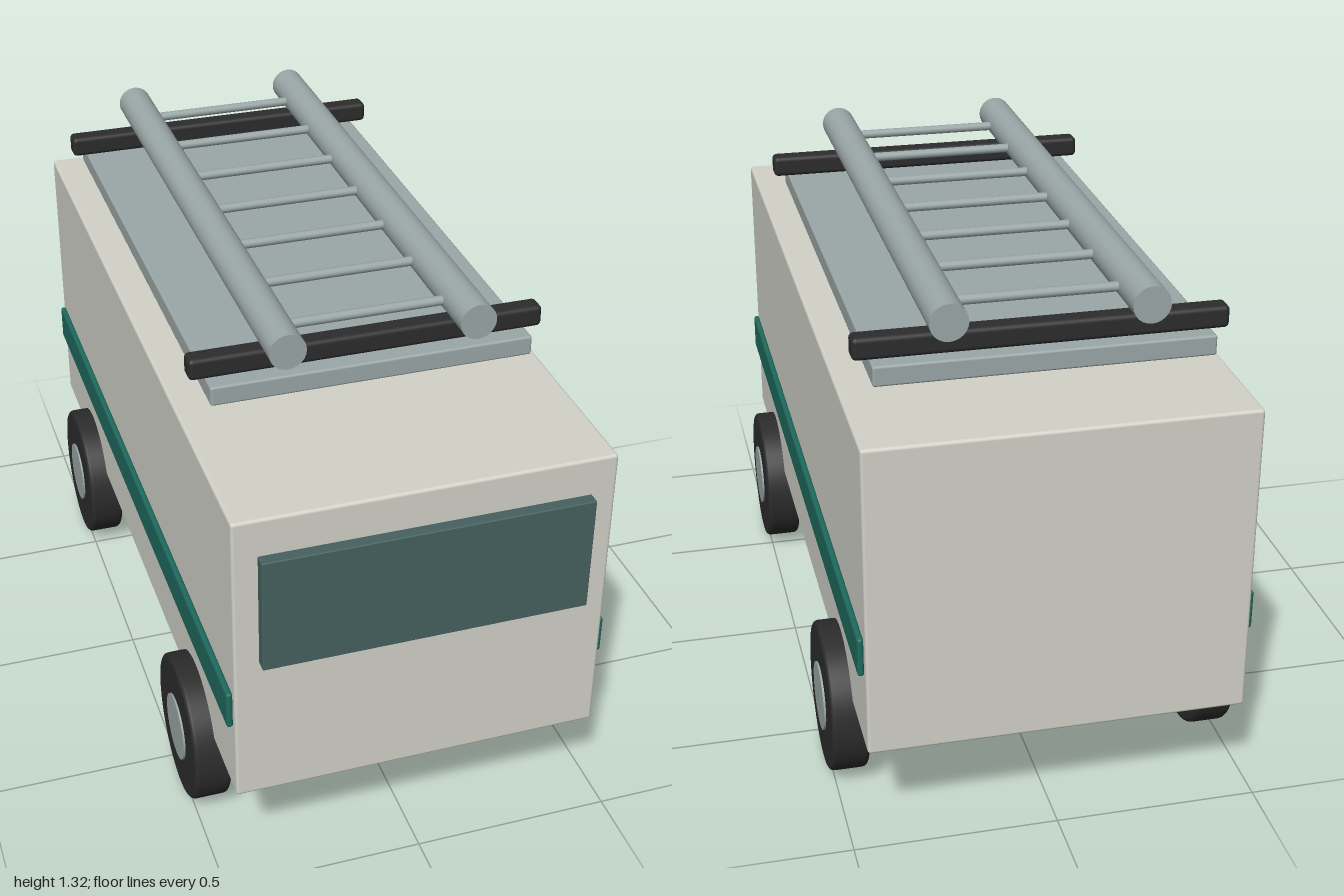
import * as THREE from 'three';
import { RoundedBoxGeometry } from 'three/addons/geometries/RoundedBoxGeometry.js';

const material = (name, color) => {
  const m = new THREE.MeshStandardMaterial({ color });
  m.name = name;
  return m;
};

export function createModel() {
  const model = new THREE.Group();
  model.name = 'van';

  const cream = material('cream paint', 0xd2d2c9);
  const green = material('green trim', 0x1f6a5d);
  const glass = material('dark glass', 0x466260);
  const rubber = material('black rubber', 0x2c2c2c);
  const metal = material('grey metal', 0x9ba7a7);

  const add = (name, geometry, mat, x, y, z, parent = model) => {
    const mesh = new THREE.Mesh(geometry, mat);
    mesh.name = name;
    mesh.position.set(x, y, z);
    parent.add(mesh);
    return mesh;
  };
  const box = (w, h, d, r) => new RoundedBoxGeometry(w, h, d, 3, r);
  // Cylinder lying along x
  const rodX = (r, length, sides) => new THREE.CylinderGeometry(r, r, length, sides).rotateZ(Math.PI / 2);

  // Body shell and windscreen
  add('body', box(0.92, 0.79, 1.97, 0.008), cream, 0, 0.665, -0.015);
  add('windscreen', box(0.8, 0.3, 0.04, 0.003), glass, 0, 0.813, 0.98);

  // Tyre profile with softly rounded shoulders, turned around the axle
  const r = 0.188, half = 0.047, bevel = 0.012;
  const profile = [new THREE.Vector2(0, -half)];
  for (const side of [-1, 1]) {
    for (let i = 0; i <= 4; i++) {
      const a = (side < 0 ? -Math.PI / 2 : 0) + (i / 4) * (Math.PI / 2);
      profile.push(new THREE.Vector2(r - bevel + bevel * Math.cos(a), side * (half - bevel) + bevel * Math.sin(a)));
    }
  }
  profile.push(new THREE.Vector2(0, half));
  const tyreGeometry = new THREE.LatheGeometry(profile, 48).rotateZ(Math.PI / 2);
  const hubGeometry = rodX(0.086, 0.104, 32);

  // Side stripes and wheels
  for (const side of [-1, 1]) {
    add('sideStripe', box(0.016, 0.1, 1.93, 0.007), green, side * 0.467, 0.521, -0.012);
    for (const z of [0.6, -0.62]) {
      const wheel = new THREE.Group();
      wheel.name = 'wheel';
      wheel.position.set(side * 0.468, 0.19, z);
      model.add(wheel);
      add('tyre', tyreGeometry, rubber, 0, 0, 0, wheel);
      add('hub', hubGeometry, metal, 0, 0, 0, wheel);
    }
  }

  // Roof plate with two crossbars
  add('roofPlate', box(0.8, 0.05, 1.425, 0.006), metal, 0, 1.15, -0.118);
  for (const z of [0.53, -0.772]) {
    add('crossbar', box(0.88, 0.055, 0.052, 0.012), rubber, 0, 1.203, z);
  }

  // Ladder: two round rails and seven rungs
  const ladder = new THREE.Group();
  ladder.name = 'ladder';
  ladder.position.set(0, 1.275, -0.1);
  model.add(ladder);
  const railGeometry = new THREE.CylinderGeometry(0.045, 0.045, 1.51, 24).rotateX(Math.PI / 2);
  for (const side of [-1, 1]) add('rail', railGeometry, metal, side * 0.232, 0, 0, ladder);
  const rungGeometry = rodX(0.012, 0.46, 12);
  for (let i = -3; i <= 3; i++) add('rung', rungGeometry, metal, 0, 0, i * 0.21, ladder);

  return model;
}
